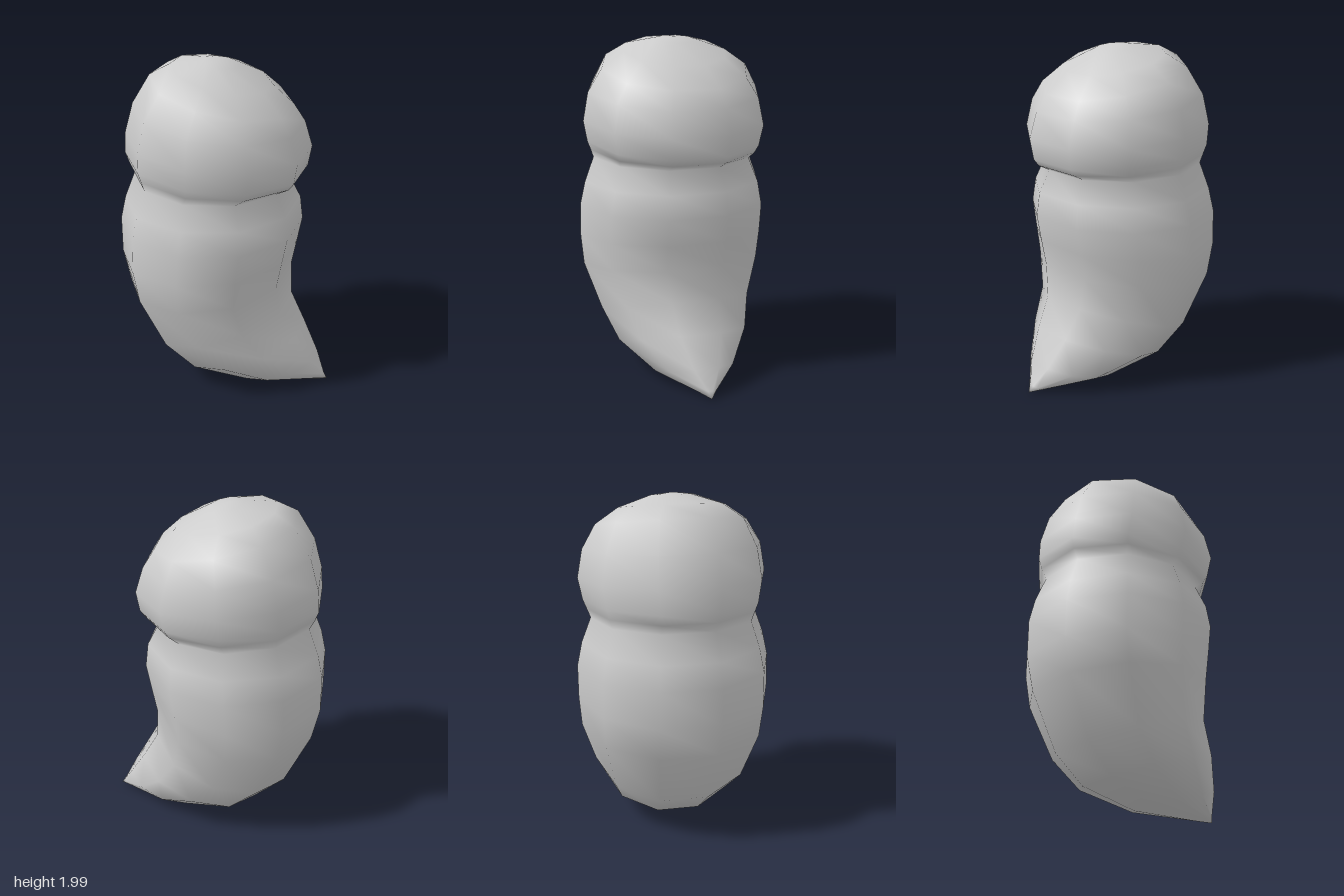
import * as THREE from 'three';

const SIDES = 10;

// Each ring: left x, left y, right x, right y, half depth in z
const RINGS = [
  // domed head
  [-0.15, 2.0, 0.04, 1.97, 0.12],
  [-0.33, 1.98, 0.22, 1.86, 0.31],
  [-0.44, 1.92, 0.34, 1.74, 0.44],
  [-0.54, 1.75, 0.40, 1.64, 0.52],
  [-0.59, 1.57, 0.445, 1.49, 0.55],
  [-0.60, 1.44, 0.425, 1.37, 0.525],
  [-0.58, 1.38, 0.395, 1.33, 0.505],
  // neck crease
  [-0.55, 1.32, 0.32, 1.29, 0.485],
  // body
  [-0.61, 1.16, 0.385, 1.16, 0.54],
  [-0.64, 1.02, 0.40, 1.02, 0.57],
  [-0.64, 0.80, 0.37, 0.86, 0.57],
  [-0.595, 0.60, 0.34, 0.70, 0.555],
  // curled tail
  [-0.44, 0.26, 0.355, 0.51, 0.47],
  [-0.26, 0.10, 0.45, 0.335, 0.40],
  [0.08, 0.01, 0.55, 0.165, 0.24],
  [0.55, 0.015, 0.61, 0.055, 0.045],
];

// Loft of tilted ten-sided rings, closed by a point at each end
function loft(rings, top, tip) {
  const pos = [...top], index = [];
  const reach = Math.cos(Math.PI / SIDES);
  for (const [lx, ly, rx, ry, depth] of rings) {
    for (let i = 0; i < SIDES; i++) {
      const a = ((i + 0.5) / SIDES) * Math.PI * 2;
      const t = 0.5 + (0.5 * Math.cos(a)) / reach;
      pos.push(lx + (rx - lx) * t, ly + (ry - ly) * t, -Math.sin(a) * depth);
    }
  }
  pos.push(...tip);
  const last = rings.length * SIDES + 1;
  for (let i = 0; i < SIDES; i++) {
    const j = (i + 1) % SIDES;
    index.push(0, 1 + i, 1 + j);
    for (let r = 0; r < rings.length - 1; r++) {
      const a = 1 + r * SIDES, b = a + SIDES;
      index.push(a + i, b + i, b + j, a + i, b + j, a + j);
    }
    index.push(last - SIDES + i, last, last - SIDES + j);
  }
  const geo = new THREE.BufferGeometry();
  geo.setAttribute('position', new THREE.Float32BufferAttribute(pos, 3));
  geo.setIndex(index);
  geo.computeVertexNormals();
  return geo;
}

export function createModel() {
  const group = new THREE.Group();
  group.name = 'grub';
  const body = new THREE.Mesh(
    loft(RINGS, [-0.07, 2.0, 0], [0.635, 0.018, 0]),
    new THREE.MeshStandardMaterial({ color: 0xcccccc })
  );
  body.name = 'headBodyAndTail';
  group.add(body);
  return group;
}
